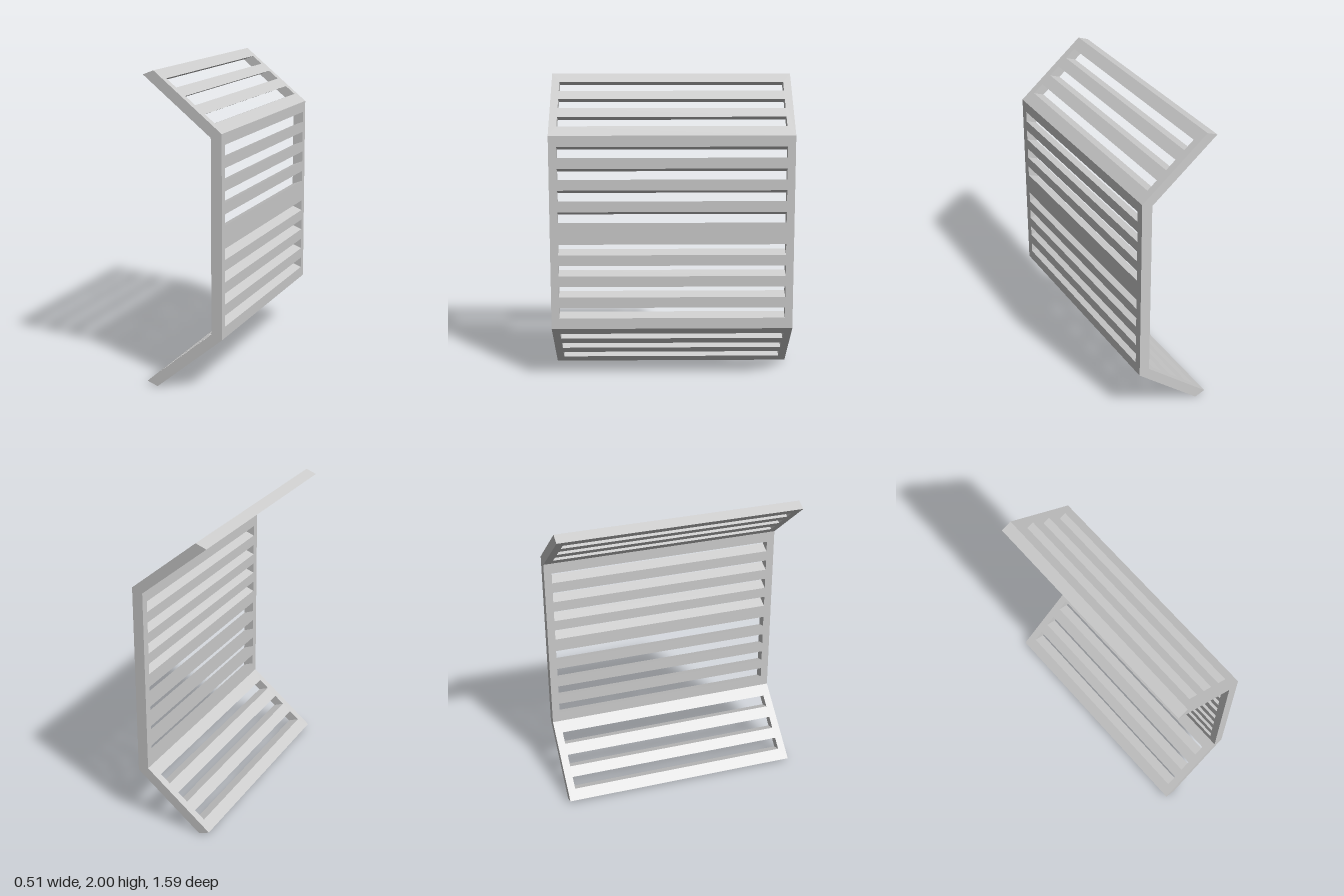
import * as THREE from 'three';

const HALF_WIDTH = 0.794;   // half the panel length along z
const SLOT_HALF = 0.743;    // half the slot length along z
const MID = 1;              // height of the mirror plane

const material = new THREE.MeshStandardMaterial({ color: 0xcccccc, flatShading: true, side: THREE.DoubleSide });

function rect(path, halfU, v0, v1) {
  path.moveTo(-halfU, v0);
  path.lineTo(halfU, v0);
  path.lineTo(halfU, v1);
  path.lineTo(-halfU, v1);
  path.closePath();
  return path;
}

// Slotted slab whose outer face runs from a to b in the xy plane; its edges
// and slot walls all follow the slanted thickness direction.
function slottedPanel(name, a, b, slant, slots) {
  const shape = rect(new THREE.Shape(), HALF_WIDTH, 0, 1);
  for (const [s0, s1] of slots) shape.holes.push(rect(new THREE.Path(), SLOT_HALF, s0, s1));
  const geometry = new THREE.ExtrudeGeometry(shape, { depth: 1, bevelEnabled: false });

  const v = new THREE.Vector3(b[0] - a[0], b[1] - a[1], 0);
  const w = new THREE.Vector3(slant[0], slant[1], 0);
  // pick the z direction that keeps the faces pointing outward
  const u = new THREE.Vector3(0, 0, Math.sign(v.x * w.y - v.y * w.x));
  geometry.applyMatrix4(new THREE.Matrix4().makeBasis(u, v, w).setPosition(a[0], a[1], 0));

  // end each half flush with the mirror plane
  const upper = a[1] + b[1] > 2 * MID;
  const p = geometry.attributes.position;
  for (let i = 0; i < p.count; i++) {
    p.setY(i, upper ? Math.max(p.getY(i), MID) : Math.min(p.getY(i), MID));
  }
  geometry.computeVertexNormals();
  const mesh = new THREE.Mesh(geometry, material);
  mesh.name = name;
  return mesh;
}

export function createModel() {
  const group = new THREE.Group();
  group.name = 'slottedBracketPanel';

  const tip = [-0.185, 2], corner = [0.255, 1.64], middle = [0.255, MID];

  // slot spans as fractions along each outer face
  const wingSlots = [-0.123, 0.0, 0.126].map(x =>
    [x, x + 0.064].map(e => (e - tip[0]) / (corner[0] - tip[0])));
  const wallSlots = [0, 1, 2, 3].map(i => {
    const bottom = 1.072 + i * 0.1417;
    return [bottom, bottom + 0.071].map(y => (y - MID) / (corner[1] - MID));
  });

  // upper half, then the same mirrored below
  for (const [prefix, s] of [['upper', 1], ['lower', -1]]) {
    const flip = ([x, y]) => [x, MID + s * (y - MID)];
    const slant = [-0.07, -0.027 * s];
    group.add(slottedPanel(prefix + 'Wing', flip(tip), flip(corner), slant, wingSlots));
    group.add(slottedPanel(prefix + 'Wall', flip(middle), flip(corner), slant, wallSlots));
  }
  return group;
}
